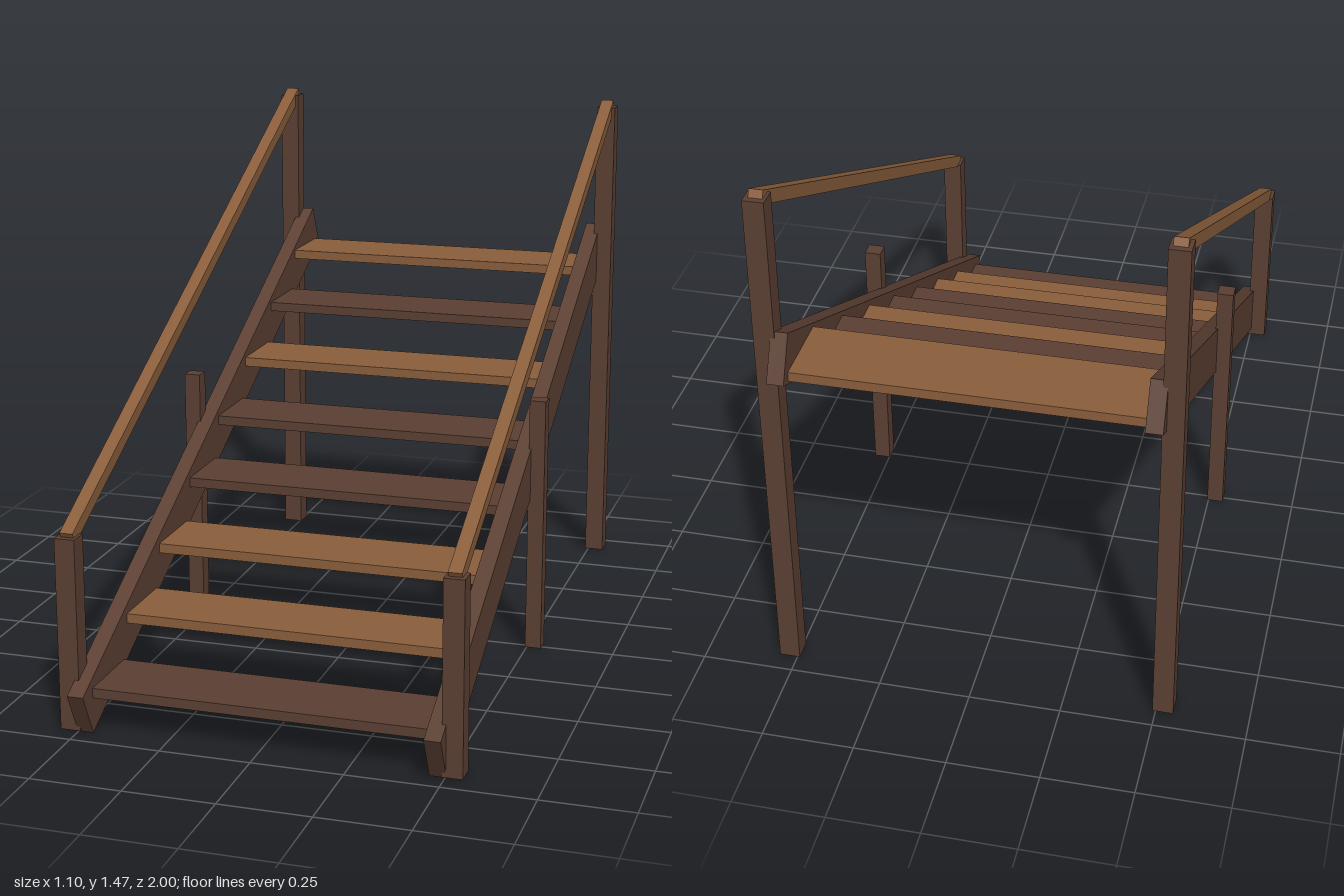
import * as THREE from 'three';

const darkWood = new THREE.MeshStandardMaterial({ name: 'darkWood', color: 0x5c4033 });
const lightWood = new THREE.MeshStandardMaterial({ name: 'lightWood', color: 0x8b5e3c });

export function createModel() {
  const model = new THREE.Group();
  model.name = 'staircase';

  // Adds one beam, optionally pitched so its back end rises
  const beam = (name, material, size, position, pitch = 0) => {
    const mesh = new THREE.Mesh(new THREE.BoxGeometry(...size), material);
    mesh.name = name;
    mesh.position.set(...position);
    mesh.rotation.x = THREE.MathUtils.degToRad(pitch);
    model.add(mesh);
  };

  // A post standing on the ground
  const post = (name, x, z, width, height) =>
    beam(name, darkWood, [width, height, width], [x, height / 2, z]);

  // Stringer, posts and handrail on each side
  for (const [side, s] of [['left', 1], ['right', -1]]) {
    beam(side + 'Stringer', darkWood, [0.045, 0.135, 2.166], [s * 0.481, 0.535, 0], 26.2);
    post(side + 'FrontPost', s * 0.52, 0.922, 0.056, 0.53);
    post(side + 'MiddlePost', s * 0.52, 0, 0.046, 0.74);
    post(side + 'BackPost', s * 0.52, -0.922, 0.056, 1.45);
    beam(side + 'Handrail', lightWood, [0.037, 0.036, 2.08], [s * 0.519, 0.99, 0], 26.5);
  }

  // Treads from bottom to top, in mixed timber
  const timber = [darkWood, lightWood, lightWood, darkWood, darkWood, lightWood, darkWood, lightWood];
  timber.forEach((material, i) => {
    beam('tread' + (i + 1), material, [0.93, 0.027, 0.212], [0, 0.107 + i * 0.1212, 0.833 - i * 0.2415]);
  });

  return model;
}
